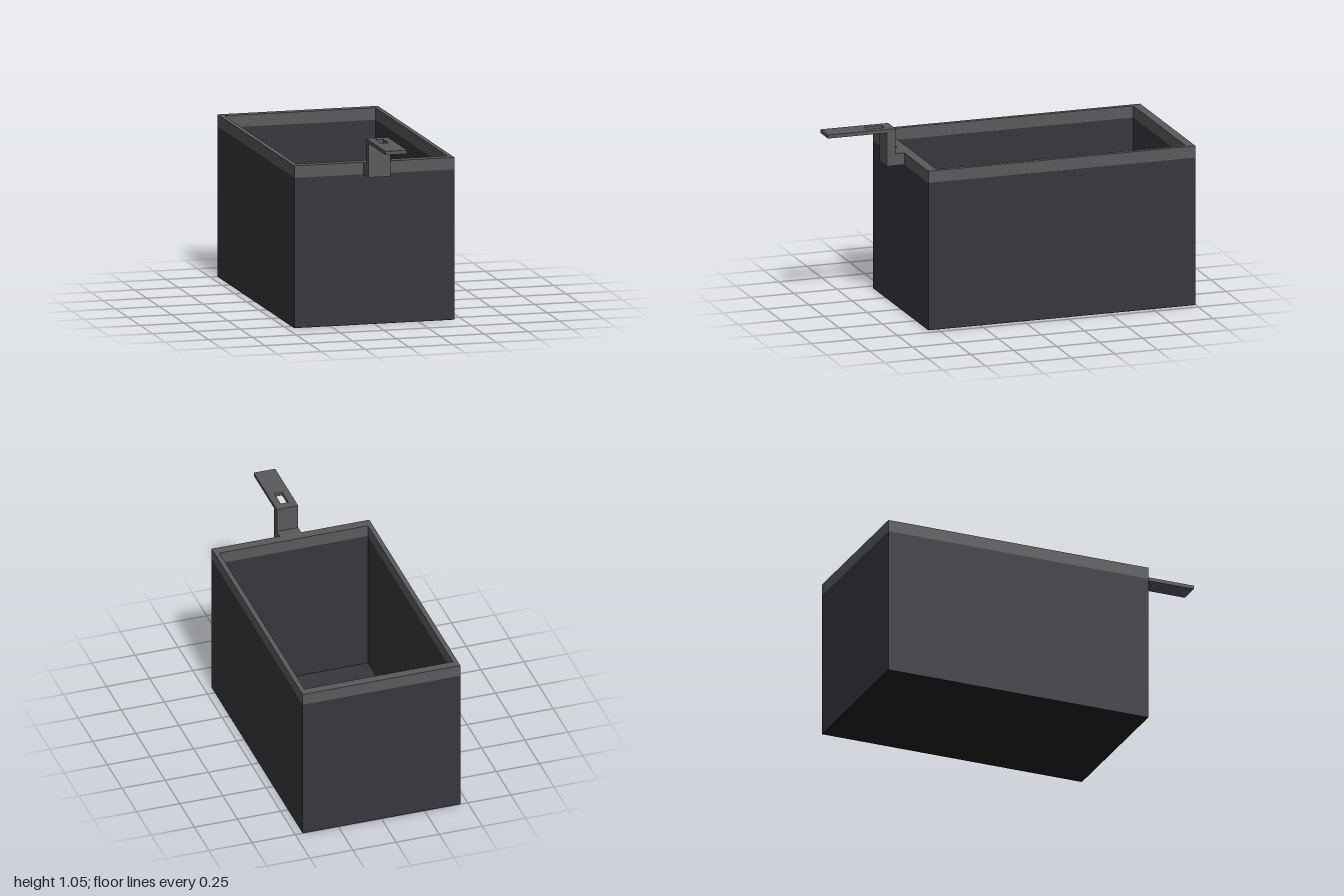
import * as THREE from 'three';

const mat = (name, color) => Object.assign(new THREE.MeshStandardMaterial({ color }), { name });

// Rectangular outline, corners given as x0..x1, z0..z1 (shape y = -z)
function rectangle(Type, x0, x1, z0, z1) {
  return new Type([[x0, z0], [x0, z1], [x1, z1], [x1, z0]].map(([x, z]) => new THREE.Vector2(x, -z)));
}

// Upright extrusion of an outline with one rectangular hole
function frame(outer, inner, y, height) {
  const shape = rectangle(THREE.Shape, ...outer);
  shape.holes.push(rectangle(THREE.Path, ...inner));
  const geo = new THREE.ExtrudeGeometry(shape, { depth: height, bevelEnabled: false });
  return geo.rotateX(-Math.PI / 2).translate(0, y, 0);
}

function block(x0, x1, y0, y1, z0, z1) {
  return new THREE.BoxGeometry(x1 - x0, y1 - y0, z1 - z0)
    .translate((x0 + x1) / 2, (y0 + y1) / 2, (z0 + z1) / 2);
}

export function createModel() {
  const wallMat = mat('charcoal', 0x37363c);
  const rimMat = mat('grey metal', 0x5a5a5a);
  const baseMat = mat('black base', 0x222222);

  const model = new THREE.Group();
  model.name = 'openBin';
  const add = (name, geo, material, parent = model) => {
    const mesh = new THREE.Mesh(geo, material);
    mesh.name = name;
    parent.add(mesh);
  };

  const outer = [-0.457, 0.457, -1, 0.555];
  const inner = [-0.43, 0.43, -0.95, 0.5];

  // Open box: base plate, floor, walls and rim
  add('basePlate', block(-0.457, 0.457, 0, 0.004, -1, 0.555), baseMat);
  add('floor', block(-0.43, 0.43, 0.004, 0.01, -0.95, 0.5), wallMat);
  add('walls', frame(outer, inner, 0.004, 0.836), wallMat);
  add('rim', frame(outer, inner, 0.84, 0.067), rimMat);

  // Stepped bracket with a slotted tongue
  const bracket = new THREE.Group();
  bracket.name = 'bracket';
  model.add(bracket);
  const w = 0.062;
  add('bracketFoot', block(-w, w, 0.84, 0.907, 0.555, 0.606), rimMat, bracket);
  add('bracketPost', block(-w, w, 0.84, 1.03, 0.606, 0.656), rimMat, bracket);
  add('bracketTongue', frame([-w, w, 0.606, 1], [-0.022, 0.022, 0.656, 0.762], 1.03, 0.02), rimMat, bracket);

  return model;
}
